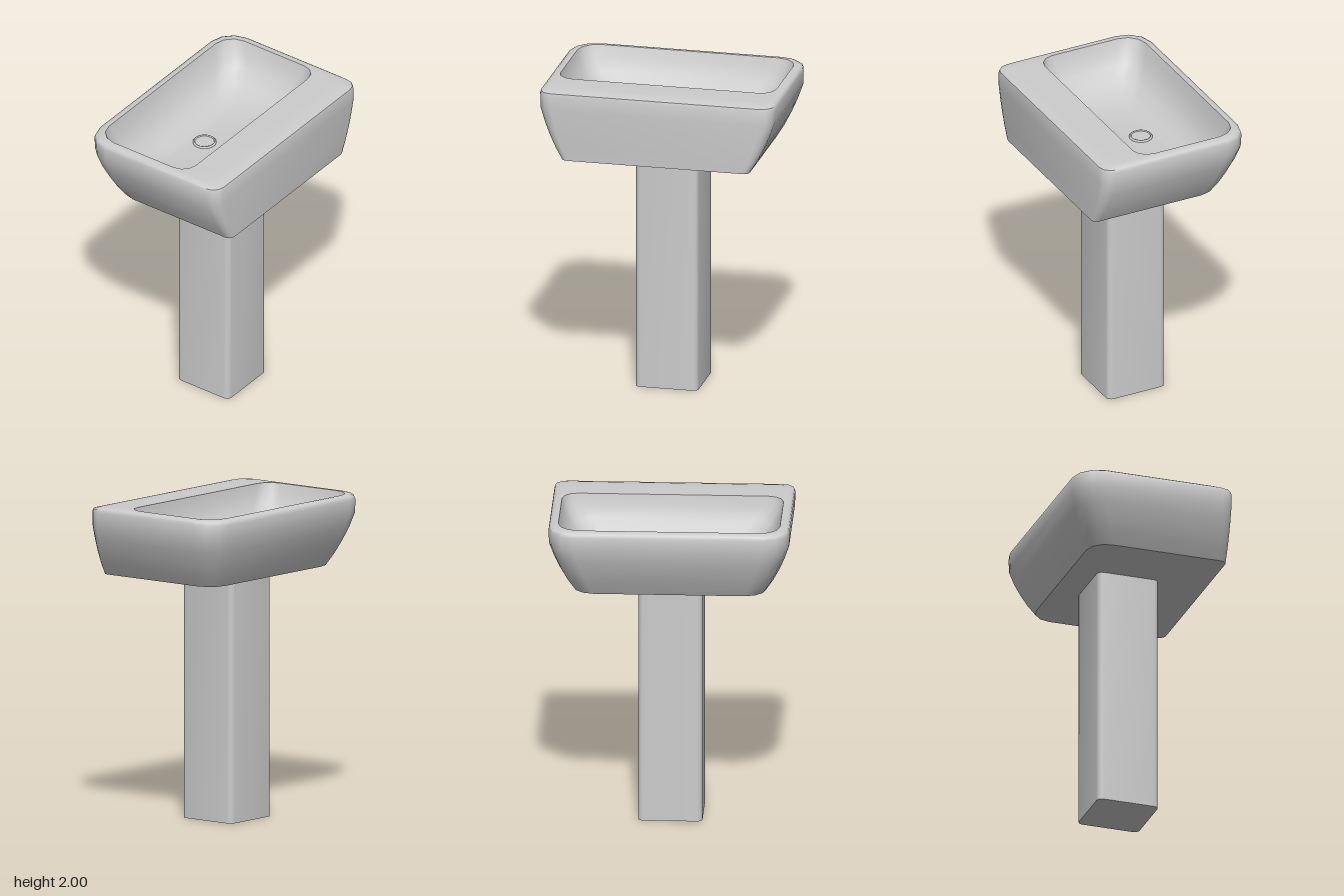
import * as THREE from 'three';
import { toCreasedNormals } from 'three/addons/utils/BufferGeometryUtils.js';

// Rounded rectangle ring: half width w, front and back z, corner radii (front, back)
function ring([y, w, zf, zb, rf, rb], n) {
  const pts = [];
  const corners = [[1, zf, rf, 1], [-1, zf, rf, 1], [-1, zb, rb, -1], [1, zb, rb, -1]];
  corners.forEach(([sx, z, r, sz], k) => {
    for (let i = 0; i <= n; i++) {
      const t = (k + i / n) * Math.PI / 2;
      pts.push([sx * (w - r) + r * Math.cos(t), y, z - sz * r + r * Math.sin(t)]);
    }
  });
  return pts;
}

// Skin through successive rings; the first and last rings may shrink to a point
function loft(rows, n, crease) {
  const rings = rows.map(r => ring(r, n));
  const m = rings[0].length, pos = [];
  for (let j = 0; j < rings.length - 1; j++) {
    for (let i = 0; i < m; i++) {
      const k = (i + 1) % m;
      const a = rings[j][i], b = rings[j][k], c = rings[j + 1][i], d = rings[j + 1][k];
      if (rows[j][1] > 0) pos.push(...a, ...c, ...b);
      if (rows[j + 1][1] > 0) pos.push(...b, ...c, ...d);
    }
  }
  const g = new THREE.BufferGeometry();
  g.setAttribute('position', new THREE.Float32BufferAttribute(pos, 3));
  return toCreasedNormals(g, crease);
}

export function createModel() {
  const group = new THREE.Group();
  const ceramic = new THREE.MeshStandardMaterial({ color: 0xcccccc });
  ceramic.name = 'ceramic';
  const add = (name, geometry) => {
    const mesh = new THREE.Mesh(geometry, ceramic);
    mesh.name = name;
    group.add(mesh);
    return mesh;
  };

  // Basin: underside, flared outside, rim, then down into the bowl
  // y, half width, front z, back z, front radius, back radius
  add('basin', loft([
    [1.555, 0, 0, 0, 0, 0],
    [1.555, 0.60, 0.51, -0.375, 0.04, 0.13],
    [1.63, 0.645, 0.51, -0.415, 0.05, 0.14],
    [1.71, 0.685, 0.51, -0.45, 0.06, 0.15],
    [1.79, 0.718, 0.51, -0.48, 0.07, 0.155],
    [1.88, 0.748, 0.51, -0.505, 0.08, 0.16],
    [1.965, 0.75, 0.51, -0.51, 0.08, 0.16],
    [1.985, 0.745, 0.505, -0.505, 0.08, 0.16],
    [1.996, 0.73, 0.46, -0.49, 0.08, 0.155],
    [2.0, 0.71, 0.40, -0.475, 0.08, 0.14],
    [2.0, 0.69, 0.235, -0.455, 0.1, 0.13],
    [1.93, 0.672, 0.226, -0.437, 0.11, 0.14],
    [1.85, 0.63, 0.203, -0.405, 0.12, 0.14],
    [1.78, 0.56, 0.16, -0.36, 0.12, 0.14],
    [1.73, 0.46, 0.085, -0.295, 0.11, 0.12],
    [1.705, 0.33, 0.0, -0.225, 0.08, 0.08],
    [1.70, 0.12, -0.05, -0.2, 0.05, 0.05],
    [1.70, 0, -0.13, -0.13, 0, 0],
  ], 3, 0.75));

  // Square pedestal with softened corners
  add('pedestal', loft([
    [0, 0, 0, 0, 0, 0],
    [0, 0.2, 0.2, -0.2, 0.035, 0.035],
    [1.56, 0.2, 0.2, -0.2, 0.035, 0.035],
    [1.56, 0, 0, 0, 0, 0],
  ], 4, 0.75));

  // Drain: raised collar around a recessed plug
  const collar = [[0.073, 1.695], [0.073, 1.705], [0.068, 1.711], [0.062, 1.711], [0.059, 1.703]]
    .map(p => new THREE.Vector2(...p));
  add('drainCollar', new THREE.LatheGeometry(collar, 32)).position.z = -0.13;
  add('drainPlug', new THREE.CylinderGeometry(0.06, 0.06, 0.01, 32)).position.set(0, 1.70, -0.13);

  return group;
}
